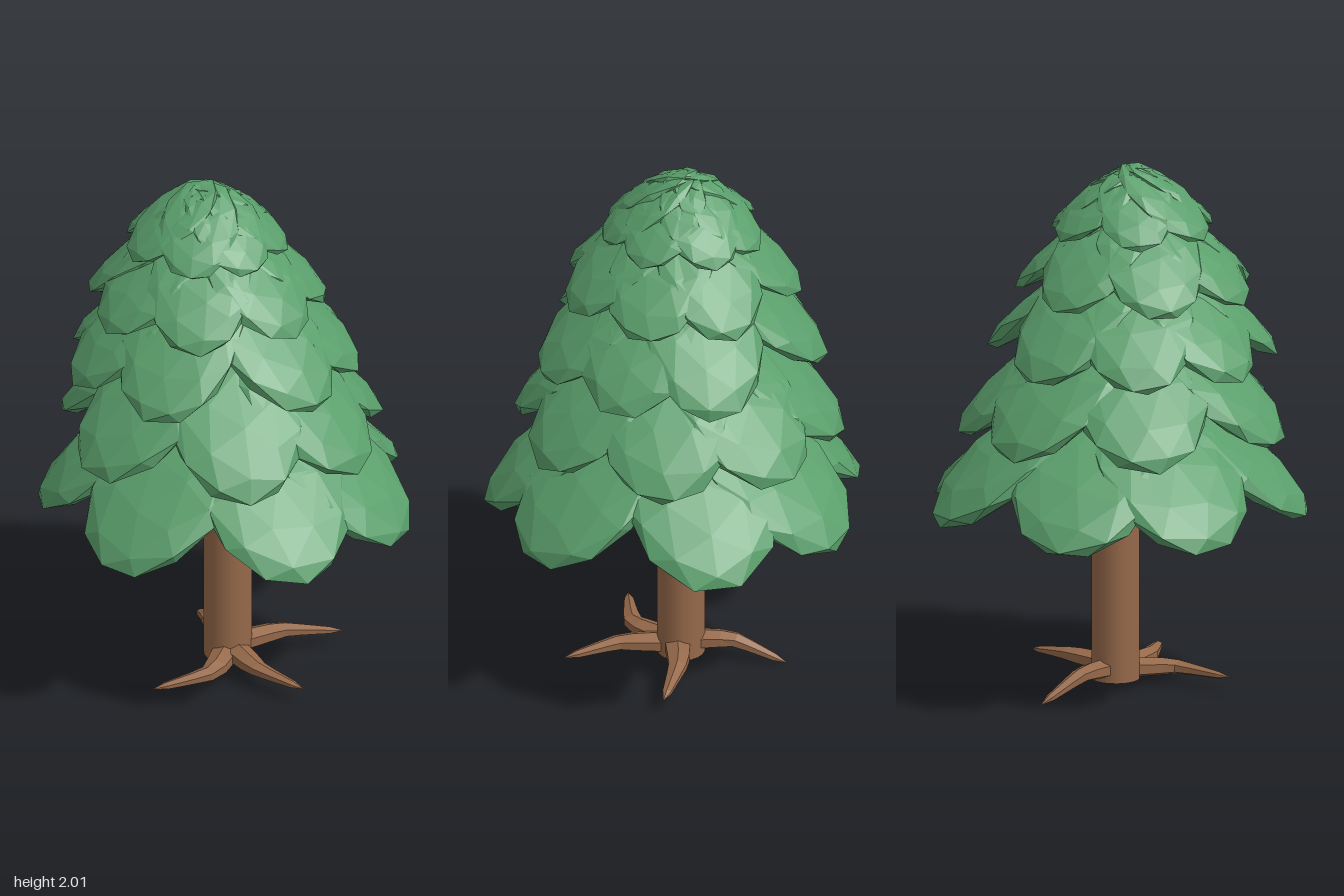
import * as THREE from 'three';

const green = new THREE.MeshStandardMaterial({ color: 0x5a9e6b, flatShading: true });
const bark = new THREE.MeshStandardMaterial({ color: 0x96694a });
const rootBark = new THREE.MeshStandardMaterial({ color: 0x96694a, flatShading: true });

let seed = 7;
const rand = () => (seed = (seed * 16807) % 2147483647) / 2147483647;

// Flattened low-poly bough: outer tip at the origin, body running back along -x, slightly arched
function boughGeometry(length, width) {
  const g = new THREE.IcosahedronGeometry(1, 1);
  g.rotateX(rand() * 6.28).rotateZ(rand() * 6.28);
  const p = g.attributes.position;
  for (let i = 0; i < p.count; i++) {
    const u = p.getX(i), y = p.getY(i), w = p.getZ(i);
    p.setXYZ(i, (u - 1) * length, length * (0.19 * y + 0.03 * (1 - u * u)), w * width);
  }
  g.computeVertexNormals();
  return g;
}

// Tapered six-sided root that follows a bent path to a narrow blunt tip
function rootGeometry(points) {
  const radii = [0.055, 0.053, 0.05, 0.046, 0.038, 0.031, 0.025, 0.019, 0];
  const n = radii.length - 1, sides = 6;
  const curve = new THREE.CatmullRomCurve3(points.map(a => new THREE.Vector3(...a)), false, 'catmullrom', 0.2);
  const g = new THREE.TubeGeometry(curve, n, 1, sides);
  const p = g.attributes.position, v = new THREE.Vector3();
  for (let i = 0; i < p.count; i++) {
    const ring = Math.floor(i / (sides + 1)), c = curve.getPointAt(ring / n);
    v.fromBufferAttribute(p, i).sub(c).multiplyScalar(radii[ring]);
    v.y *= 0.7;
    p.setXYZ(i, c.x + v.x, c.y + v.y, c.z + v.z);
  }
  g.computeVertexNormals();
  return g;
}

export function createModel() {
  const tree = new THREE.Group();
  tree.name = 'pineTree';

  // Trunk
  const trunk = new THREE.Mesh(new THREE.CylinderGeometry(0.09, 0.09, 1.44, 20), bark);
  trunk.name = 'trunk';
  trunk.position.set(0.005, 0.76, -0.013);
  tree.add(trunk);

  // Roots
  const roots = new THREE.Group();
  roots.name = 'roots';
  const paths = [
    [[0, 0.075, 0], [-0.2, 0.07, 0.08], [-0.43, 0.06, -0.01]],
    [[0, 0.085, 0], [0.19, 0.095, 0.09], [0.37, 0.07, 0.24]],
    [[0, 0.075, 0], [-0.08, 0.08, 0.2], [-0.08, 0.07, 0.43]],
    [[0, 0.085, 0], [0.1, 0.09, -0.18], [0.225, 0.008, -0.345]],
  ];
  paths.forEach((path, i) => {
    const root = new THREE.Mesh(rootGeometry(path), rootBark);
    root.name = 'root' + (i + 1);
    roots.add(root);
  });
  tree.add(roots);

  // Foliage tiers: centre x, z, tip radius, tip height, half length, half width, tilt, bough angles (from +x to +z)
  const tiers = [
    [0, 0, 0.715, 0.675, 0.39, 0.29, 37, [14, 74, 117, 176, 232, 275, 329]],
    [-0.03, -0.02, 0.62, 0.98, 0.37, 0.26, 38, [32, 82, 130, 190, 250, 303, 347]],
    [-0.055, -0.035, 0.55, 1.27, 0.34, 0.23, 38, [10, 52, 95, 163, 212, 255, 300]],
    [-0.075, -0.05, 0.45, 1.53, 0.29, 0.2, 37, [0, 45, 92, 145, 195, 245, 298]],
    [-0.07, -0.06, 0.31, 1.765, 0.215, 0.15, 35, [2, 57, 105, 150, 203, 255, 322]],
  ];
  tiers.forEach(([cx, cz, radius, tipY, length, width, tilt, angles], t) => {
    const tier = new THREE.Group();
    tier.name = 'foliageTier' + (t + 1);
    tier.position.set(cx, 0, cz);
    angles.forEach((deg, i) => {
      const bough = new THREE.Mesh(boughGeometry(length, width), green);
      bough.name = 'bough' + (i + 1);
      const a = THREE.MathUtils.degToRad(deg);
      bough.rotation.order = 'YZX';
      bough.rotation.set(0, -a, -THREE.MathUtils.degToRad(tilt));
      bough.position.set(Math.cos(a) * radius, tipY + 0.01 * (rand() - 0.5), Math.sin(a) * radius);
      tier.add(bough);
    });
    tree.add(tier);
  });

  return tree;
}
